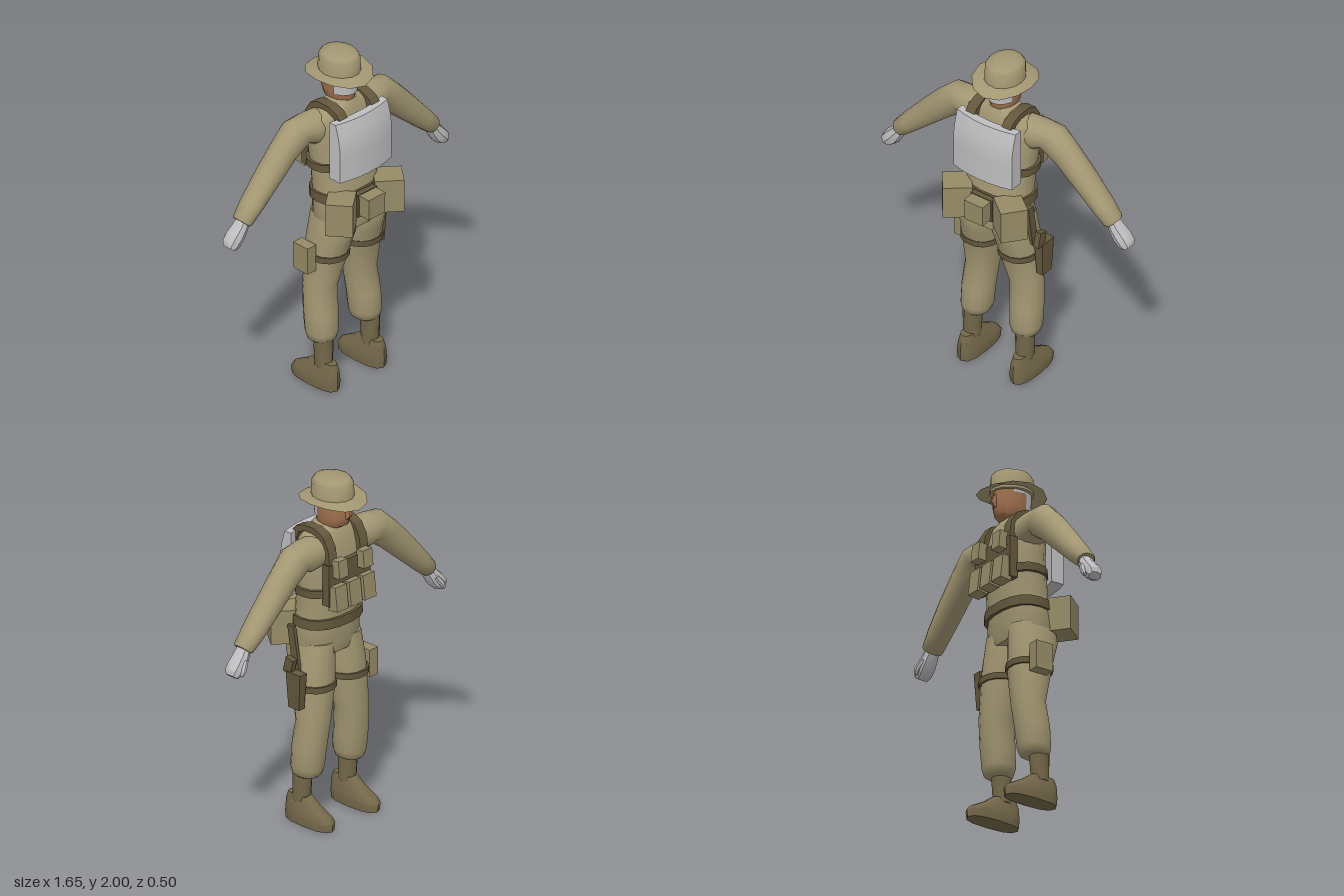
import * as THREE from 'three';
import { toCreasedNormals } from 'three/addons/utils/BufferGeometryUtils.js';

const mat = (name, color) => new THREE.MeshStandardMaterial({ name, color, side: THREE.DoubleSide });

// Skin of elliptical rings [x, y, z, radiusA, radiusB, tilt]; tilt is the sweep direction in the xy plane
function loft(rings, { n = 14, p = 1, start = 0, len = Math.PI * 2, caps = true, crease = 0.8 } = {}) {
  const pos = [], idx = [], w = n + 1;
  const pw = (v) => Math.sign(v) * Math.abs(v) ** p;
  for (const [x, y, z, a, b, tilt = Math.PI / 2] of rings) {
    for (let i = 0; i <= n; i++) {
      const t = start + (len * i) / n, c = a * pw(Math.cos(t));
      pos.push(x + Math.sin(tilt) * c, y - Math.cos(tilt) * c, z + b * pw(Math.sin(t)));
    }
  }
  for (let r = 0; r < rings.length - 1; r++) {
    for (let i = 0; i < n; i++) {
      const k = r * w + i;
      idx.push(k, k + w, k + 1, k + 1, k + w, k + w + 1);
    }
  }
  if (caps) {
    for (const end of [0, rings.length - 1]) {
      const c = pos.length / 3;
      pos.push(...rings[end].slice(0, 3));
      for (let i = 0; i < n; i++) {
        const k = end * w + i;
        idx.push(c, end ? k + 1 : k, end ? k : k + 1);
      }
    }
  }
  const g = new THREE.BufferGeometry();
  g.setAttribute('position', new THREE.Float32BufferAttribute(pos, 3));
  g.setIndex(idx);
  return toCreasedNormals(g, crease);
}

// Horizontal ring from its height, centre x, half width, and back and front z
const ring = (y, x, rx, zb, zf) => [x, y, (zb + zf) / 2, rx, (zb - zf) / 2];

// Box with its top and bottom scaled for taper
function box(w, h, d, x, y, z, { ry = 0, rx = 0, taper = 1 } = {}) {
  const g = new THREE.BoxGeometry(w, h, d), a = g.attributes.position;
  for (let i = 0; i < a.count; i++) {
    if (a.getY(i) < 0) a.setXYZ(i, a.getX(i) * taper, a.getY(i), a.getZ(i) * taper);
  }
  g.rotateX(rx).rotateY(ry).translate(x, y, z);
  return toCreasedNormals(g, 0.3);
}

// Flat outline in (z, y) pulled along x
function slab(points, width, x) {
  const s = new THREE.Shape(points.map(([z, y]) => new THREE.Vector2(z, y)));
  const g = new THREE.ExtrudeGeometry(s, { depth: width, bevelEnabled: false });
  g.rotateY(-Math.PI / 2).translate(x + width / 2, 0, 0);
  return toCreasedNormals(g, 0.5);
}

function mirror(geo) {
  const g = geo.clone().scale(-1, 1, 1);
  for (const key of ['position', 'normal']) {
    const a = g.attributes[key].array;
    for (let i = 0; i < a.length; i += 9) {
      for (let j = 3; j < 6; j++) [a[i + j], a[i + j + 3]] = [a[i + j + 3], a[i + j]];
    }
  }
  return g;
}

export function createModel() {
  const model = new THREE.Group();
  model.name = 'fieldSoldier';
  const cloth = mat('khaki cloth', 0xa49873);
  const canvas = mat('pouch canvas', 0x968b67);
  const strap = mat('brown webbing', 0x64573c);
  const leather = mat('boot leather', 0x74684a);
  const skin = mat('skin', 0xa1714f);
  const grey = mat('light grey', 0xbfbfc1);
  const add = (name, geo, m) => {
    const mesh = new THREE.Mesh(geo, m);
    mesh.name = name;
    model.add(mesh);
  };
  const pair = (name, geo, m) => {
    add(name + 'Left', geo, m);
    add(name + 'Right', mirror(geo), m);
  };

  // Torso and hips
  add('torso', loft([
    ring(0.99, 0, 0.18, 0.14, -0.12), ring(1.05, 0, 0.207, 0.15, -0.135),
    ring(1.18, 0, 0.197, 0.125, -0.14), ring(1.3, 0, 0.2, 0.11, -0.145),
    ring(1.45, 0, 0.212, 0.09, -0.155), ring(1.58, 0, 0.225, 0.085, -0.15),
    ring(1.66, 0, 0.21, 0.075, -0.13), ring(1.7, 0, 0.15, 0.065, -0.115),
    ring(1.735, 0, 0.075, 0.05, -0.095),
  ], { n: 18, p: 0.85 }), cloth);

  // Trouser legs, boots
  pair('trouserLeg', loft([
    ring(0.28, 0.165, 0.062, 0.05, -0.09), ring(0.29, 0.165, 0.075, 0.062, -0.1),
    ring(0.33, 0.163, 0.088, 0.07, -0.11), ring(0.45, 0.16, 0.09, 0.065, -0.125),
    ring(0.6, 0.147, 0.092, 0.045, -0.14), ring(0.8, 0.124, 0.11, 0.095, -0.142),
    ring(0.9, 0.116, 0.111, 0.125, -0.14), ring(0.98, 0.108, 0.107, 0.153, -0.135),
    ring(1.06, 0.1, 0.1, 0.148, -0.13),
  ], { p: 0.9 }), cloth);
  pair('bootShaft', loft([
    ring(0.13, 0.175, 0.05, 0.06, -0.04), ring(0.3, 0.175, 0.052, 0.065, -0.055),
  ], { n: 10 }), leather);
  pair('boot', loft([
    ring(0, 0.175, 0.058, 0.112, -0.215), ring(0.045, 0.175, 0.062, 0.116, -0.22),
    ring(0.07, 0.175, 0.058, 0.115, -0.2), ring(0.12, 0.175, 0.045, 0.112, -0.11),
    ring(0.158, 0.175, 0.036, 0.098, -0.06),
  ], { n: 12, p: 0.75 }), leather);

  // Sleeves and hands
  pair('sleeve', loft([
    [0.12, 1.6, -0.05, 0.09, 0.09, 0], [0.23, 1.6, -0.058, 0.095, 0.092, -0.15],
    [0.305, 1.605, -0.065, 0.093, 0.085, -0.6], [0.4, 1.527, -0.07, 0.084, 0.076, -0.8],
    [0.52, 1.41, -0.072, 0.073, 0.074, -0.8], [0.64, 1.29, -0.072, 0.06, 0.068, -0.8],
    [0.706, 1.224, -0.07, 0.05, 0.06, -0.8], [0.716, 1.216, -0.07, 0.042, 0.05, -0.8],
  ], { p: 0.95 }), cloth);
  pair('hand', loft([
    [0.69, 1.24, -0.07, 0.03, 0.035, -0.9], [0.725, 1.185, -0.072, 0.038, 0.045, -0.9],
    [0.76, 1.14, -0.075, 0.047, 0.05, -0.9], [0.79, 1.108, -0.075, 0.043, 0.048, -0.9],
    [0.805, 1.088, -0.075, 0.026, 0.038, -0.9],
  ], { n: 8, p: 0.8, crease: 0.6 }), grey);
  pair('thumb', loft([
    [0.735, 1.17, -0.11, 0.015, 0.018, -1], [0.765, 1.125, -0.126, 0.017, 0.016, -1],
    [0.78, 1.095, -0.125, 0.01, 0.01, -1],
  ], { n: 6 }), grey);

  // Head, nose, hair
  add('head', loft([
    ring(1.69, 0, 0.062, 0.045, -0.07), ring(1.72, 0, 0.066, 0.045, -0.125),
    ring(1.735, 0, 0.074, 0.048, -0.15), ring(1.78, 0, 0.081, 0.055, -0.163),
    ring(1.83, 0, 0.083, 0.058, -0.163), ring(1.91, 0, 0.083, 0.058, -0.155),
  ]), skin);
  add('nose', loft([
    ring(1.775, 0, 0.014, -0.14, -0.168), ring(1.805, 0, 0.017, -0.14, -0.192),
    ring(1.855, 0, 0.008, -0.14, -0.163),
  ], { n: 6 }), skin);
  const back = { caps: false, start: 0.36, len: Math.PI - 0.72 };
  add('hairBack', loft([
    ring(1.77, 0, 0.084, 0.06, -0.165), ring(1.83, 0, 0.087, 0.063, -0.167), ring(1.9, 0, 0.087, 0.063, -0.16),
  ], back), grey);
  add('hairSides', loft([
    ring(1.86, 0, 0.0875, 0.063, -0.165), ring(1.9, 0, 0.0875, 0.063, -0.16),
  ], { caps: false, start: -0.4, len: Math.PI + 0.8 }), grey);

  // Hat: crown and a brim that dips at front and back
  add('hatCrown', loft([
    [0, 1.875, -0.05, 0.11, 0.125], [0, 1.97, -0.05, 0.105, 0.121],
    [0, 1.99, -0.05, 0.092, 0.106], [0, 2, -0.05, 0.055, 0.065],
  ]), cloth);
  const brim = loft([[0, 1.858, -0.052, 0.175, 0.2], [0, 1.89, -0.05, 0.108, 0.123]], { n: 12, caps: false });
  const bp = brim.attributes.position;
  for (let i = 0; i < bp.count; i++) bp.setY(i, bp.getY(i) + (bp.getY(i) < 1.87 ? 0.9 : 0) * bp.getX(i) ** 2);
  add('hatBrim', toCreasedNormals(brim, 0.8), cloth);

  // Webbing: belt, chest band, thigh bands, shoulder straps
  add('belt', loft([ring(1.155, 0, 0.212, 0.14, -0.158), ring(1.21, 0, 0.21, 0.135, -0.158)], { n: 18, p: 0.85 }), strap);
  add('chestBand', loft([ring(1.35, 0, 0.222, 0.105, -0.165), ring(1.395, 0, 0.224, 0.1, -0.167)], { n: 18, p: 0.85 }), strap);
  pair('thighBand', loft([ring(0.795, 0.125, 0.118, 0.106, -0.153), ring(0.83, 0.124, 0.118, 0.108, -0.153)], { p: 0.9 }), strap);
  pair('shoulderStrap', slab([
    [0.12, 1.6], [0.112, 1.67], [0.08, 1.71], [0.02, 1.733], [-0.06, 1.733], [-0.12, 1.705], [-0.16, 1.64], [-0.178, 1.5],
    [-0.14, 1.5], [-0.125, 1.62], [-0.09, 1.68], [-0.04, 1.7], [0.01, 1.7], [0.06, 1.68], [0.085, 1.6],
  ], 0.06, 0.12), strap);

  // Chest rig
  add('chestPanel', box(0.32, 0.24, 0.05, 0, 1.43, -0.152), strap);
  for (const x of [-0.107, 0, 0.107]) add('magazinePouch', box(0.088, 0.14, 0.07, x, 1.36, -0.188, { rx: 0.12 }), canvas);
  pair('smallPouch', box(0.07, 0.1, 0.05, 0.095, 1.53, -0.198, { rx: 0.1 }), canvas);

  // Bowed backpack with a sloped upper edge
  const pack = new THREE.BoxGeometry(0.39, 0.35, 0.1, 6, 5, 1).translate(0, 1.505, 0);
  const pp = pack.attributes.position;
  for (let i = 0; i < pp.count; i++) {
    const bow = 0.028 * (pp.getX(i) / 0.195) ** 2, slope = Math.max(0, pp.getY(i) - 1.57) * 0.3;
    pp.setZ(i, (pp.getZ(i) > 0 ? 0.18 - slope : 0.1) - bow);
  }
  add('backpack', toCreasedNormals(pack, 0.4), grey);

  // Belt bags at the rear
  pair('beltBag', box(0.16, 0.195, 0.15, -0.178, 1.13, 0.142, { ry: 0.67 }), canvas);
  add('rearPouch', box(0.125, 0.125, 0.11, 0, 1.14, 0.183, { taper: 0.95 }), canvas);
  add('rearPouchBacking', box(0.14, 0.14, 0.04, 0, 1.137, 0.145), strap);

  // Holster on one thigh, pouch on the other
  add('holster', box(0.055, 0.21, 0.105, 0.268, 0.815, -0.038, { taper: 0.75 }), strap);
  add('pistolGrip', box(0.034, 0.09, 0.055, 0.272, 0.95, 0.005, { rx: -0.25 }), strap);
  add('holsterStrap', slab([[0.06, 1.16], [0.015, 1.16], [-0.03, 0.9], [0.02, 0.9]], 0.02, 0.226), strap);
  add('thighPouch', box(0.065, 0.16, 0.11, -0.265, 0.82, -0.045), canvas);

  return model;
}
